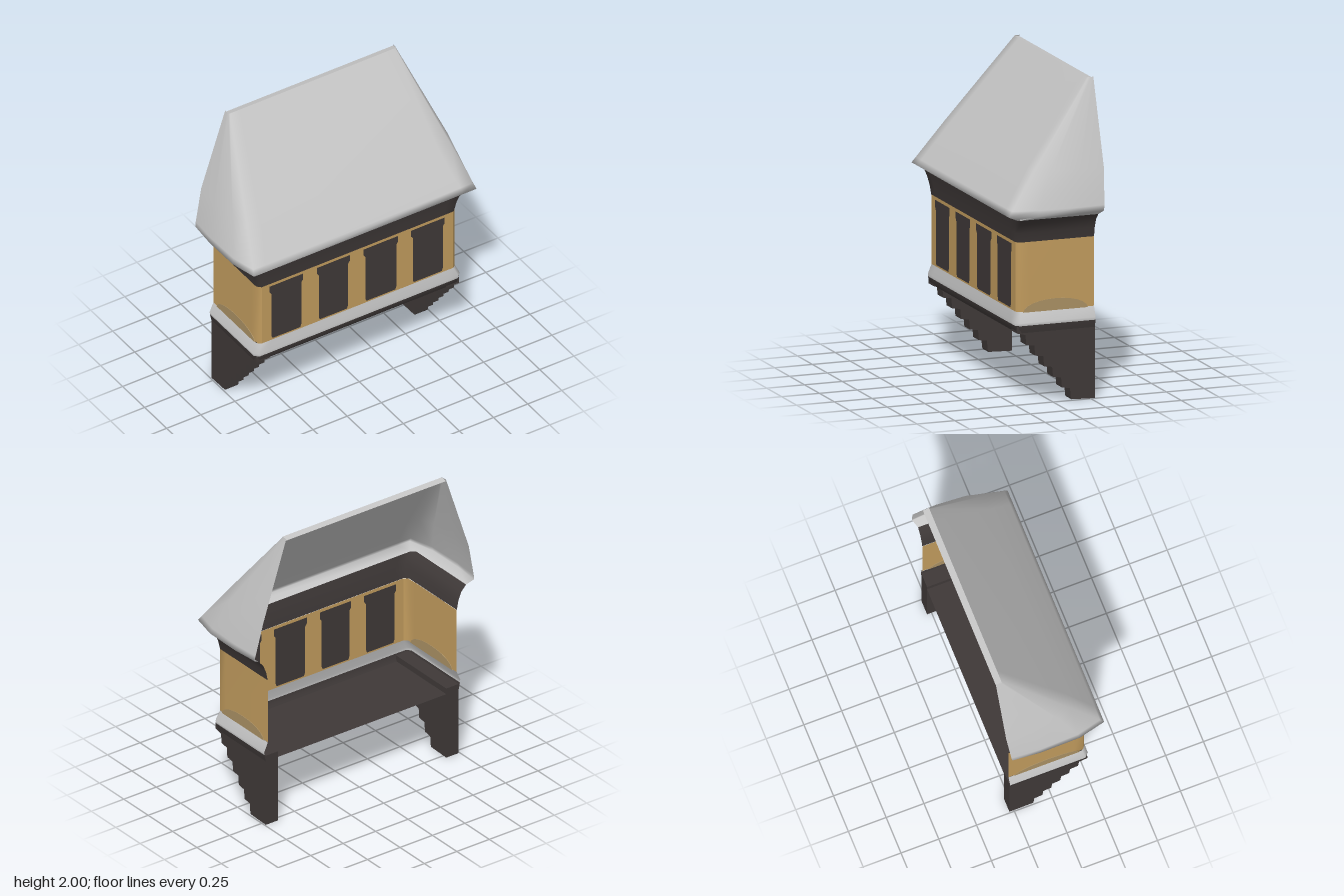
import * as THREE from 'three';

const mat = (name, color) => {
  const m = new THREE.MeshStandardMaterial({ color, side: THREE.DoubleSide });
  m.name = name;
  return m;
};

// Smooth open surface through rows of [x, y, z] points (bottom row first).
function loft(rows) {
  const n = rows[0].length, idx = [];
  for (let i = 0; i < rows.length - 1; i++)
    for (let j = 0; j < n - 1; j++) {
      const a = i * n + j, b = a + 1, c = b + n, d = a + n;
      idx.push(a, b, c, a, c, d);
    }
  const g = new THREE.BufferGeometry();
  g.setAttribute('position', new THREE.Float32BufferAttribute(rows.flat(2), 3));
  g.setIndex(idx);
  g.computeVertexNormals();
  return g;
}

// U-shaped row, open at the back: half outline as [x, z] from back to front, mirrored.
function ring(y, half) {
  const left = half.map(([x, z]) => [-x, y, z]);
  const right = half.map(([x, z]) => [x, y, z]).reverse();
  return [...left, ...right];
}

// Plain row with slightly softened front corners.
const band = (y, w, front, back = -0.28) => ring(y, [
  [w, back], [w, (back + front) / 2], [w, front - 0.025], [w - 0.025, front], [w - 0.1, front],
]);

export function createModel() {
  const model = new THREE.Group();
  const pale = mat('pale grey', 0xc6c6c6);
  const ochre = mat('ochre', 0xc29c5e);
  const dark = mat('dark timber', 0x3f3938);
  const stain = mat('weathered ochre', 0xab9164);
  const add = (name, geometry, material) => {
    const m = new THREE.Mesh(geometry, material);
    m.name = name;
    model.add(m);
    return m;
  };

  // Hollow lean-to roof: underside of eave, eave edge, slope, ridge
  add('roof', loft([
    band(1.175, 0.8, 0.255),
    ring(1.205, [[0.845, -0.3], [0.86, -0.12], [0.857, 0.14], [0.815, 0.318], [0.72, 0.318]]),
    ring(1.24, [[0.84, -0.305], [0.852, -0.12], [0.845, 0.13], [0.805, 0.293], [0.71, 0.295]]),
    ring(1.47, [[0.79, -0.32], [0.797, -0.16], [0.785, 0.03], [0.745, 0.125], [0.65, 0.132]]),
    ring(2, [[0.615, -0.32], [0.615, -0.305], [0.613, -0.288], [0.605, -0.28], [0.53, -0.28]]),
  ]), pale);
  add('ridgeCap', loft([
    [[-0.615, 2, -0.28], [0.615, 2, -0.28]],
    [[-0.615, 1.99, -0.32], [0.615, 1.99, -0.32]],
  ]), pale);

  // Flared cornice below the eave
  add('cornice', loft([
    band(1.02, 0.728, 0.232), band(1.08, 0.74, 0.238),
    band(1.135, 0.762, 0.247), band(1.175, 0.8, 0.255),
  ]), dark);

  // Front wall with window openings that widen at the head
  const wall = new THREE.Shape();
  wall.moveTo(-0.7, 0.58).lineTo(0.7, 0.58).lineTo(0.7, 1.02).lineTo(-0.7, 1.02).closePath();
  const windows = [[-0.63, -0.412], [-0.284, -0.07], [0.058, 0.284], [0.405, 0.625]];
  windows.forEach(([a, b]) => {
    const outline = [
      [a + 0.008, 0.59], [b - 0.008, 0.59], [b, 0.61], [b, 0.935], [b + 0.014, 0.955], [b + 0.014, 0.998],
      [a - 0.014, 0.998], [a - 0.014, 0.955], [a, 0.935], [a, 0.61],
    ].map(([x, y]) => new THREE.Vector2(x, y));
    wall.holes.push(new THREE.Path(outline));
    const pane = new THREE.ShapeGeometry(new THREE.Shape(outline));
    add('window', pane, dark).position.z = 0.23;
  });
  add('frontWall', new THREE.ShapeGeometry(wall), ochre).position.z = 0.23;

  // Side walls wrapping the front corners
  const path = [[0.7, 0.23], [0.722, 0.215], [0.726, 0.15], [0.726, -0.28]];
  for (const s of [1, -1]) {
    const p = s > 0 ? path : [...path].reverse();
    add('sideWall', loft([0.58, 1.02].map(y => p.map(([x, z]) => [s * x, y, z]))), ochre);

    // Domed weathered patch low on each side wall
    const dome = new THREE.Shape();
    dome.moveTo(-0.24, 0.575).lineTo(0.19, 0.575);
    dome.bezierCurveTo(0.17, 0.675, -0.22, 0.675, -0.24, 0.575);
    const patch = new THREE.ExtrudeGeometry(dome, { depth: 0.006, bevelEnabled: false });
    patch.rotateY(-Math.PI / 2).translate(s * 0.726 + 0.003, 0, 0);
    add('wallPatch', patch, stain);

    // Stepped bracket
    const step = new THREE.Shape();
    step.moveTo(-0.28, 0).lineTo(-0.28, 0.49).lineTo(0.235, 0.49).lineTo(0.235, 0.45);
    for (let i = 0; i < 6; i++) {
      const z = 0.18 - 0.059 * i, y = 0.437 - 0.072 * i;
      step.lineTo(z, y).lineTo(z - 0.006, y - 0.064);
    }
    step.lineTo(-0.125, 0.005).closePath();
    const bracket = new THREE.ExtrudeGeometry(step, { depth: 0.095, bevelEnabled: false });
    bracket.rotateY(-Math.PI / 2).translate(s > 0 ? 0.742 : -0.647, 0, 0);
    add('bracket', bracket, dark);
  }

  // Sloping sill, floor edge and floor
  add('sill', loft([band(0.497, 0.752, 0.243), band(0.515, 0.755, 0.243), band(0.58, 0.727, 0.23)]), pale);
  add('floorEdge', loft([band(0.45, 0.742, 0.228), band(0.475, 0.748, 0.24), band(0.497, 0.752, 0.243)]), dark);
  const floor = new THREE.PlaneGeometry(1.484, 0.508).rotateX(-Math.PI / 2);
  add('floor', floor, dark).position.set(0, 0.45, -0.026);

  return model;
}
